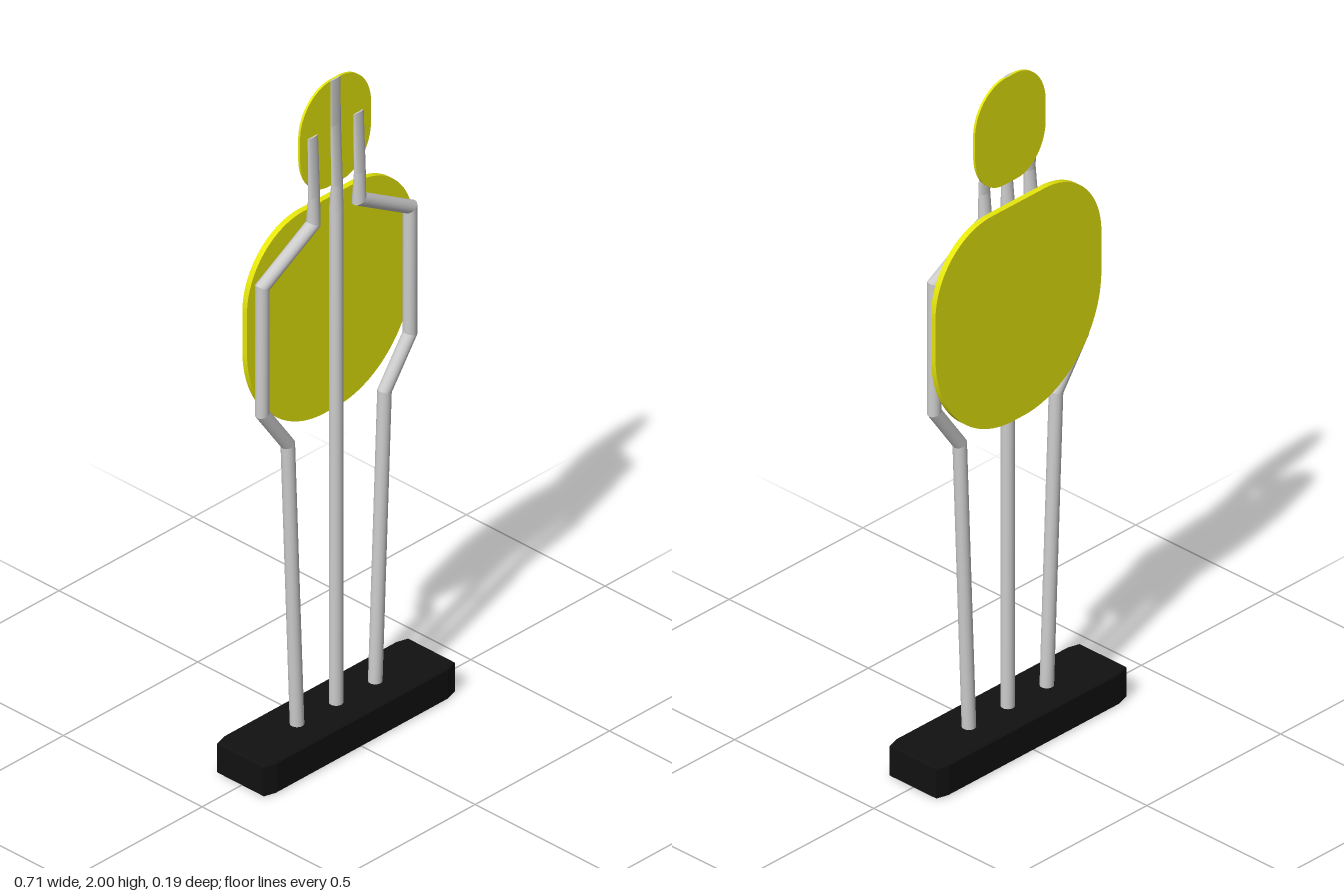
import * as THREE from 'three';
import { mergeGeometries } from 'three/addons/utils/BufferGeometryUtils.js';

const grey = new THREE.MeshStandardMaterial({ color: 0xcccccc });
const yellow = new THREE.MeshStandardMaterial({ color: 0xe6e60c });
const black = new THREE.MeshStandardMaterial({ color: 0x111111 });
const R = 0.019;
const SIDES = 24;

// Back and front z of the tubes by height: round below, hammered flat towards the head
const FLATTEN = [[1.6, -0.02, 0.018], [1.68, -0.009, 0.013], [1.86, -0.008, 0.002], [2, -0.008, 0]];
function depthAt(y) {
  if (y <= FLATTEN[0][0]) return FLATTEN[0].slice(1);
  for (let i = 1; i < FLATTEN.length; i++) {
    const [y0, b0, f0] = FLATTEN[i - 1], [y1, b1, f1] = FLATTEN[i];
    if (y <= y1) {
      const t = (y - y0) / (y1 - y0);
      return [b0 + (b1 - b0) * t, f0 + (f1 - f0) * t];
    }
  }
  return FLATTEN.at(-1).slice(1);
}

// Tube along an upright path in the xy plane, with mitred bends and closed ends
function bentTube(path) {
  const pts = path.map(([x, y]) => new THREE.Vector2(x, y));
  const dirs = pts.slice(1).map((p, i) => p.clone().sub(pts[i]).normalize());
  const rings = pts.map((p, i) => {
    const a = dirs[Math.max(i - 1, 0)], b = dirs[Math.min(i, dirs.length - 1)];
    const t = a.clone().add(b).normalize();
    const width = R / t.dot(a);
    const [back, front] = depthAt(p.y);
    return Array.from({ length: SIDES }, (_, k) => {
      const ang = (k / SIDES) * Math.PI * 2;
      const s = Math.cos(ang) * width;
      return [p.x + t.y * s, p.y - t.x * s, (back + front) / 2 + Math.sin(ang) * (front - back) / 2];
    });
  });
  const build = (positions, index) => {
    const g = new THREE.BufferGeometry();
    g.setAttribute('position', new THREE.Float32BufferAttribute(positions.flat(), 3));
    g.setIndex(index);
    g.computeVertexNormals();
    return g;
  };
  const parts = [];
  for (let i = 0; i < rings.length - 1; i++) {
    const index = [];
    for (let k = 0; k < SIDES; k++) {
      const n = (k + 1) % SIDES;
      index.push(k, k + SIDES, n, n, k + SIDES, n + SIDES);
    }
    parts.push(build([...rings[i], ...rings[i + 1]], index));
  }
  const bottom = [], top = [];
  for (let k = 1; k < SIDES - 1; k++) {
    bottom.push(0, k, k + 1);
    top.push(0, k + 1, k);
  }
  parts.push(build(rings[0], bottom), build(rings.at(-1), top));
  return mergeGeometries(parts);
}

// Flat plate with rounded shoulders and a rounded bottom
function plate(w, top, shoulder, flatTop, hip, bottom, flatBottom, z0, z1) {
  const s = new THREE.Shape();
  const q = Math.PI / 2;
  s.moveTo(w, hip);
  s.lineTo(w, shoulder);
  s.absellipse(flatTop, shoulder, w - flatTop, top - shoulder, 0, q, false, 0);
  s.absellipse(-flatTop, shoulder, w - flatTop, top - shoulder, q, 2 * q, false, 0);
  s.absellipse(-flatBottom, hip, w - flatBottom, hip - bottom, 2 * q, 3 * q, false, 0);
  s.absellipse(flatBottom, hip, w - flatBottom, hip - bottom, 3 * q, 4 * q, false, 0);
  return new THREE.ExtrudeGeometry(s, { depth: z1 - z0, bevelEnabled: false, curveSegments: 24 })
    .translate(0, 0, z0);
}

// Block with clipped corners and slightly eased edges
function baseBlock() {
  const e = 0.004, w = 0.356 - e, d = 0.095 - e, cx = 0.034, cz = 0.01;
  const s = new THREE.Shape([
    [w, -d + cz], [w, d - cz], [w - cx, d], [-w + cx, d],
    [-w, d - cz], [-w, -d + cz], [-w + cx, -d], [w - cx, -d],
  ].map(([x, y]) => new THREE.Vector2(x, y)));
  return new THREE.ExtrudeGeometry(s, {
    depth: 0.095 - 2 * e, bevelThickness: e, bevelSize: e, bevelSegments: 1,
  }).rotateX(-Math.PI / 2).translate(0, e, -0.0015);
}

export function createModel() {
  const group = new THREE.Group();
  const add = (name, geometry, material) => {
    const mesh = new THREE.Mesh(geometry, material);
    mesh.name = name;
    group.add(mesh);
  };

  add('base', baseBlock(), black);
  add('centrePole', bentTube([[0, 0.08], [0, 1.6], [0, 1.68], [0, 1.86], [0, 2]]), grey);

  // Outline tubes: leg, waist, arm, shoulder, neck
  const outline = [
    [0.145, 0.08], [0.18, 0.965], [0.275, 1.1], [0.275, 1.485],
    [0.085, 1.595], [0.085, 1.68], [0.085, 1.86],
  ];
  for (const [name, side] of [['leftOutlineTube', 1], ['rightOutlineTube', -1]]) {
    add(name, bentTube(outline.map(([x, y]) => [x * side, y])), grey);
  }

  add('torsoPlate', plate(0.31, 1.63, 1.41, 0.1, 1.29, 0.978, 0.02, -0.039, -0.022), yellow);
  add('headPlate', plate(0.132, 2, 1.87, 0.015, 1.81, 1.68, 0.025, -0.01, -0.003), yellow);
  return group;
}
